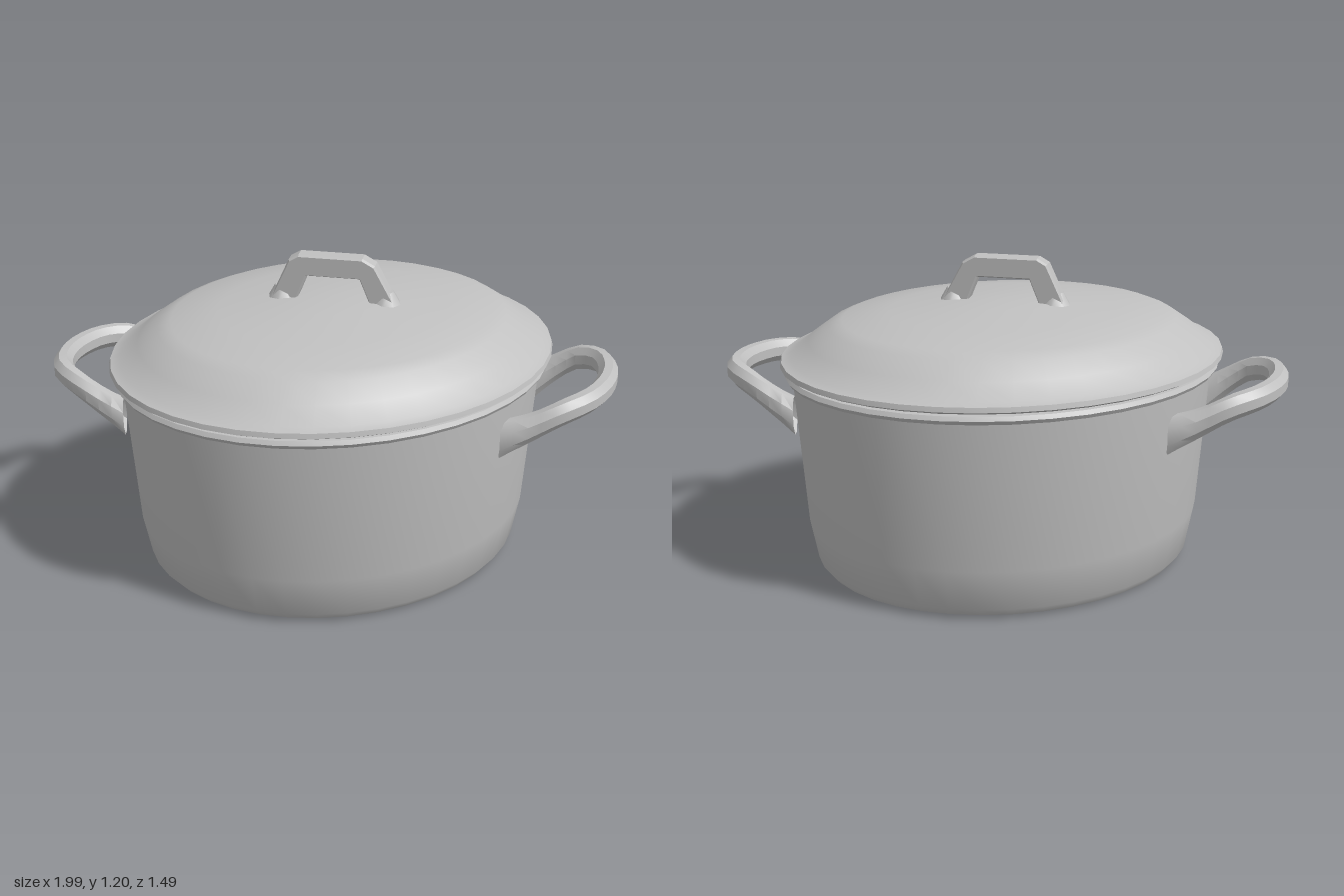
import * as THREE from 'three';
import { toCreasedNormals } from 'three/addons/utils/BufferGeometryUtils.js';

const OVAL = 0.855; // depth of the oval pot relative to its width

// Turned oval part from [radius, height] pairs, listed from the bottom up
function ovalLathe(profile) {
  const geo = new THREE.LatheGeometry(profile.map(([r, y]) => new THREE.Vector2(r, y)), 40);
  geo.scale(1, 1, OVAL);
  return toCreasedNormals(geo, 0.6);
}

// Sweeps an eight-sided section along a path; the ends grow taller where they meet the wall
function handleGeometry(points) {
  const curve = new THREE.CatmullRomCurve3(points.map(p => new THREE.Vector3(...p)));
  const steps = 20, sides = 8, pos = [], index = [];
  const up = new THREE.Vector3(0, 1, 0);
  for (let i = 0; i <= steps; i++) {
    const t = i / steps, c = curve.getPointAt(t);
    const out = curve.getTangentAt(t).cross(up).normalize();
    const flare = Math.abs(2 * t - 1) ** 4;
    const h = 0.045 + 0.03 * flare, w = 0.038;
    for (let j = 0; j < sides; j++) {
      const a = (j + 0.5) / sides * Math.PI * 2;
      const p = c.clone().addScaledVector(out, Math.cos(a) * w * 1.05);
      pos.push(p.x, p.y + Math.sin(a) * h * 1.05, p.z);
      if (i < steps) {
        const k = i * sides, n = (j + 1) % sides;
        index.push(k + j, k + n, k + sides + j, k + n, k + sides + n, k + sides + j);
      }
    }
  }
  const geo = new THREE.BufferGeometry();
  geo.setAttribute('position', new THREE.Float32BufferAttribute(pos, 3));
  geo.setIndex(index);
  return toCreasedNormals(geo, 0.6);
}

export function createModel() {
  const model = new THREE.Group();
  const metal = new THREE.MeshStandardMaterial({ color: 0xc0c0c0, side: THREE.DoubleSide });
  metal.name = 'brushed metal';
  const add = (name, geo) => {
    const mesh = new THREE.Mesh(geo, metal);
    mesh.name = name;
    model.add(mesh);
    return mesh;
  };

  // Tapered pot wall with a flat base and a rolled rim
  add('potBody', ovalLathe([
    [0, 0], [0.73, 0.01], [0.755, 0.04], [0.785, 0.2], [0.825, 0.77],
  ]));
  add('potRim', ovalLathe([[0.815, 0.765], [0.845, 0.77], [0.855, 0.785], [0.845, 0.8], [0.8, 0.8]]));

  // Shallow domed lid with a flange
  add('lid', ovalLathe([
    [0, 0.81], [0.85, 0.81], [0.87, 0.82], [0.865, 0.838], [0.83, 0.848],
    [0.76, 0.9], [0.68, 0.955], [0.63, 0.975], [0.45, 1.0], [0.2, 1.025], [0, 1.035],
  ]));

  // Arched grip on the lid, set on the diagonal
  const arch = new THREE.Shape([
    [-0.24, 1.01], [-0.165, 1.17], [-0.13, 1.19], [0.11, 1.19], [0.155, 1.165], [0.24, 1.01],
    [0.15, 1.01], [0.105, 1.12], [-0.105, 1.12], [-0.15, 1.01],
  ].map(p => new THREE.Vector2(...p)));
  const grip = new THREE.ExtrudeGeometry(arch, {
    depth: 0.05, bevelEnabled: true, bevelThickness: 0.012, bevelSize: 0.006, bevelSegments: 1,
  });
  grip.translate(0, 0, -0.025);
  add('lidGrip', grip).rotation.y = -0.64;

  // Flared feet of the grip
  for (const s of [-1, 1]) {
    const foot = add('gripFoot', new THREE.CylinderGeometry(0.03, 0.065, 0.06, 8));
    foot.position.set(s * 0.16, 1.035, s * 0.118);
  }

  // Two looped side handles, opposite each other
  const loop = handleGeometry([
    [0.79, 0.6, 0.2], [0.85, 0.65, 0.23], [0.93, 0.72, 0.3], [0.96, 0.742, 0.4], [0.92, 0.745, 0.51],
    [0.83, 0.742, 0.61], [0.72, 0.735, 0.67], [0.6, 0.715, 0.68], [0.5, 0.66, 0.64], [0.39, 0.61, 0.59],
  ]);
  add('leftHandle', loop);
  add('rightHandle', loop).rotation.y = Math.PI;

  return model;
}
